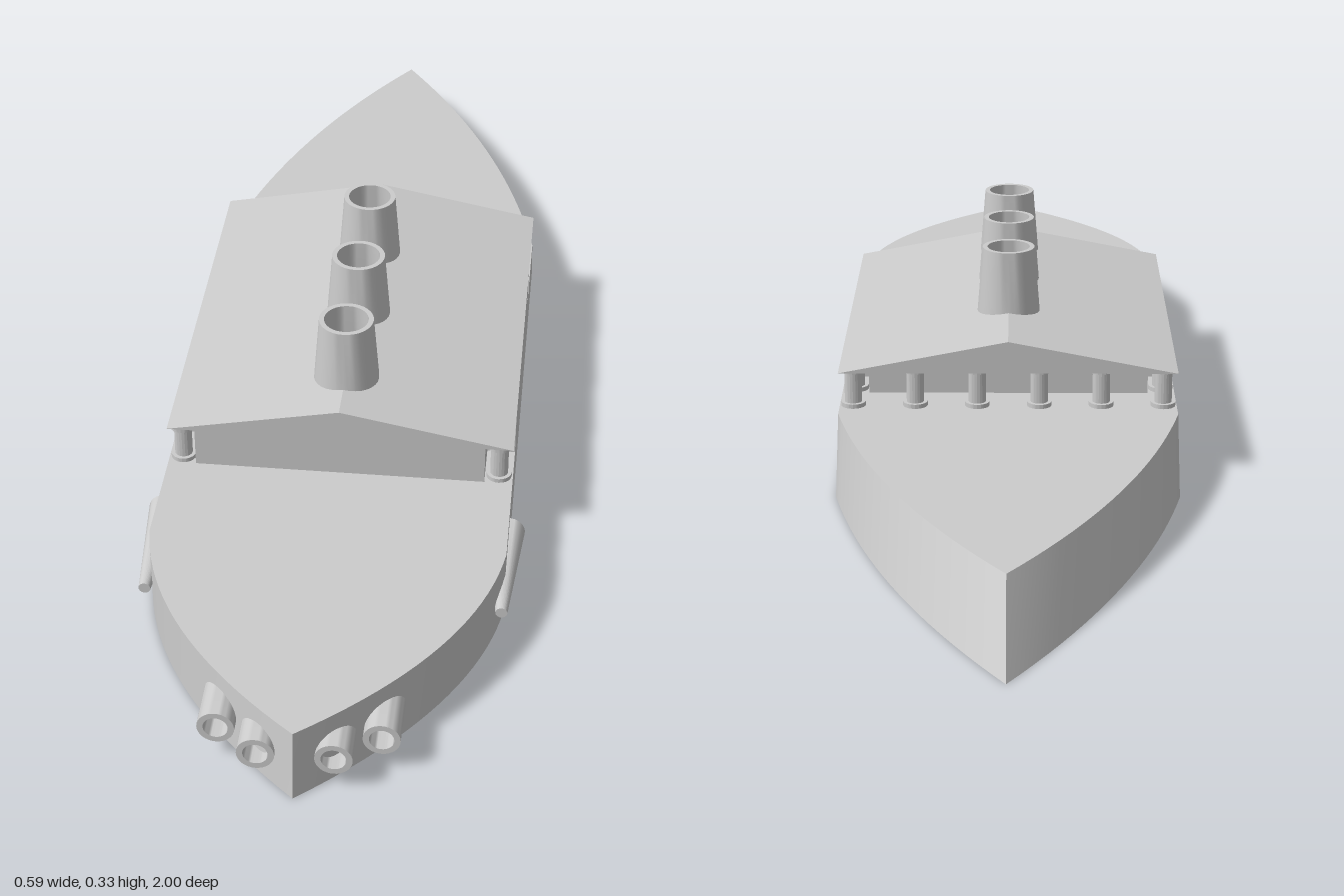
import * as THREE from 'three';
import { toCreasedNormals } from 'three/addons/utils/BufferGeometryUtils.js';

const material = new THREE.MeshStandardMaterial({ color: 0xcccccc });
const HALF = 0.272, DECK = 0.11, EAVES = 0.175, RIDGE = 0.228;

function add(parent, name, geometry, x = 0, y = 0, z = 0) {
  const mesh = new THREE.Mesh(geometry, material);
  mesh.name = name;
  mesh.position.set(x, y, z);
  parent.add(mesh);
  return mesh;
}

const lathe = (points, segments = 32) => toCreasedNormals(
  new THREE.LatheGeometry(points.map(([r, y]) => new THREE.Vector2(r, y)), segments), 0.6);

// Closed outline seen from above: stern tip, left side, bow tip, right side
function outline(sternTip, sternControl, sternEnd, bowTip) {
  const v = (x, z) => new THREE.Vector2(x, z);
  const stern = new THREE.QuadraticBezierCurve(v(0, sternTip), v(0.2, sternControl), v(HALF, sternEnd));
  const bow = new THREE.QuadraticBezierCurve(v(HALF, 0.58), v(0.24, 0.8), v(0, bowTip));
  const side = [...stern.getPoints(20), ...bow.getPoints(20)];
  const mirrored = side.slice(1, -1).reverse().map((p) => v(-p.x, p.y));
  return [...side, ...mirrored];
}

// Hull lofted between the keel outline and the shorter deck outline
function hullGeometry() {
  const keel = outline(-1, -0.7, -0.35, 1);
  const deck = outline(-0.89, -0.61, -0.27, 0.985);
  const positions = [];
  const push = (p, y) => positions.push(p.x, y, p.y);
  const centre = new THREE.Vector2(0, 0);
  keel.forEach((a, i) => {
    const j = (i + 1) % keel.length;
    const b = keel[j], A = deck[i], B = deck[j];
    push(a, 0); push(A, DECK); push(b, 0);
    push(b, 0); push(A, DECK); push(B, DECK);
    push(centre, DECK); push(B, DECK); push(A, DECK);
    push(centre, 0); push(a, 0); push(b, 0);
  });
  const geometry = new THREE.BufferGeometry();
  geometry.setAttribute('position', new THREE.Float32BufferAttribute(positions, 3));
  return toCreasedNormals(geometry, 0.45);
}

// Deckhouse plan with a notch at each corner
function houseGeometry() {
  const half = [[0.228, -0.17], [0.228, -0.09], [HALF, -0.09], [HALF, 0.33], [0.228, 0.33], [0.228, 0.41]];
  const plan = [...half, ...half.slice().reverse().map(([x, z]) => [-x, z])];
  const shape = new THREE.Shape(plan.map(([x, z]) => new THREE.Vector2(x, -z)));
  return new THREE.ExtrudeGeometry(shape, { depth: EAVES - DECK, bevelEnabled: false }).rotateX(-Math.PI / 2);
}

export function createModel() {
  const model = new THREE.Group();
  model.name = 'ship';

  add(model, 'hull', hullGeometry());
  add(model, 'deckhouse', houseGeometry(), 0, DECK, 0);

  // Shallow gabled roof
  const gable = new THREE.Shape([[-HALF, EAVES], [HALF, EAVES], [0, RIDGE]].map(([x, y]) => new THREE.Vector2(x, y)));
  add(model, 'roof', new THREE.ExtrudeGeometry(gable, { depth: 0.67, bevelEnabled: false }), 0, 0, -0.26);

  // Columns with a base and a capital: corner pairs and a row across the stern
  const column = lathe([[0, 0], [0.02, 0], [0.02, 0.007], [0.014, 0.007],
    [0.014, 0.058], [0.02, 0.058], [0.02, 0.065], [0, 0.065]], 20);
  for (const x of [-0.25, 0.25]) {
    for (const z of [0.39, -0.148]) add(model, 'cornerColumn', column, x, DECK, z);
  }
  for (let i = 0; i < 6; i++) add(model, 'sternColumn', column, -0.25 + i * 0.1, DECK, -0.227);

  // Hollow tapered funnels
  const funnel = lathe([[0.054, 0], [0.043, 0.138], [0.035, 0.138], [0.039, 0.06], [0, 0.06]]);
  for (const z of [-0.06, 0.12, 0.3]) add(model, 'funnel', funnel, 0, 0.19, z);

  // Hollow bow guns, two on each side
  const gun = lathe([[0, 0], [0.027, 0], [0.027, 0.13], [0.018, 0.13], [0.018, 0.05], [0, 0.05]]).rotateX(Math.PI / 2);
  // Open cones half sunk into the sides, widening toward the stern
  const cone = lathe([[0, -0.19], [0.009, -0.19], [0.026, 0], [0.018, 0], [0.01, -0.09], [0, -0.09]])
    .rotateX(-Math.PI / 2);
  for (const side of [-1, 1]) {
    add(model, 'innerGun', gun, side * 0.055, 0.056, 0.845);
    add(model, 'outerGun', gun, side * 0.118, 0.056, 0.8);
    add(model, 'sideCone', cone, side * 0.27, 0.056, 0.46);
  }
  return model;
}
